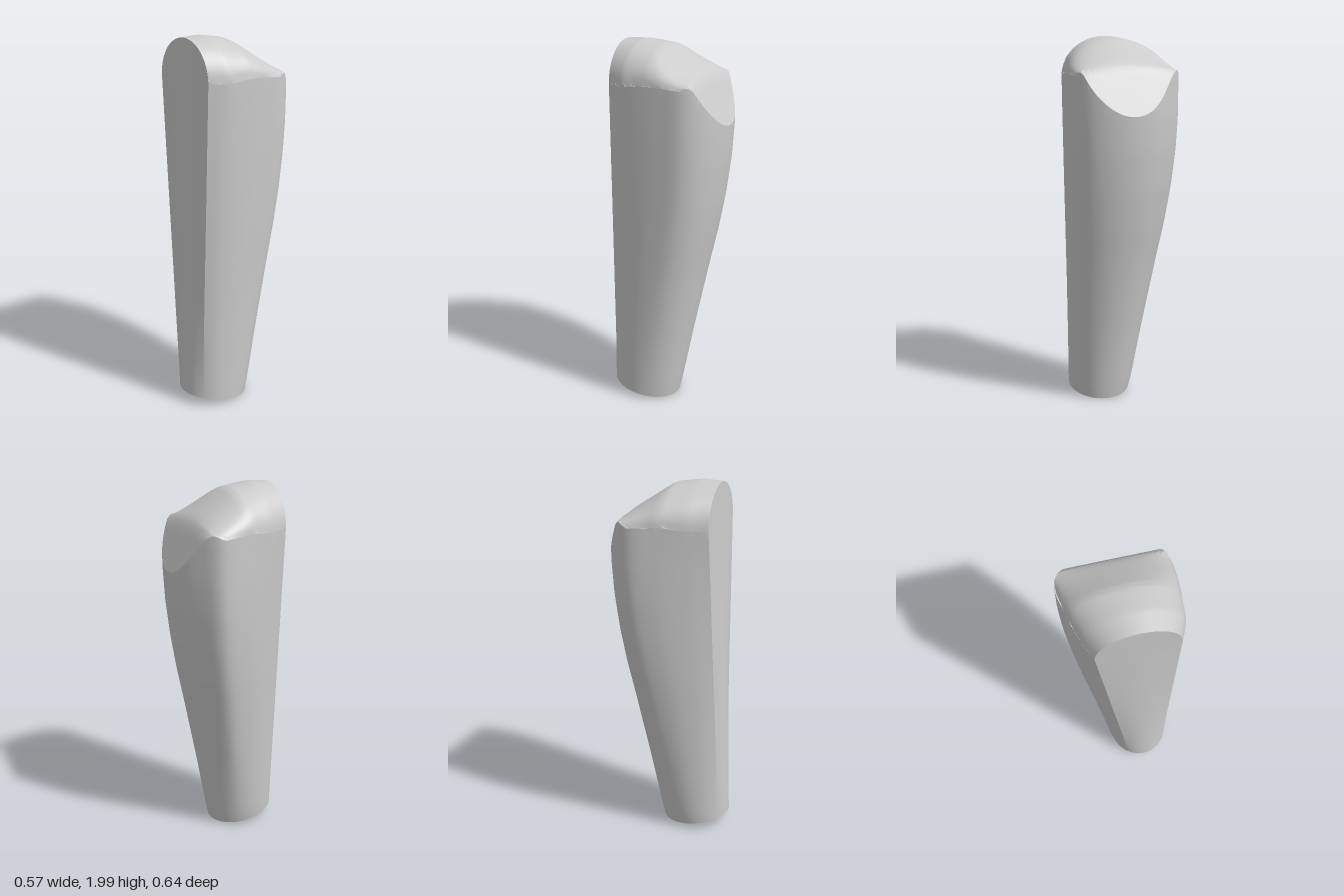
import * as THREE from 'three';
import { toCreasedNormals } from 'three/addons/utils/BufferGeometryUtils.js';

const { lerp, clamp } = THREE.MathUtils;

// Piecewise-linear lookup through [key, value] pairs with rising keys
function ramp(pairs, k) {
  if (k <= pairs[0][0]) return pairs[0][1];
  for (let i = 1; i < pairs.length; i++) {
    const [k0, v0] = pairs[i - 1], [k1, v1] = pairs[i];
    if (k <= k1) return lerp(v0, v1, (k - k0) / (k1 - k0));
  }
  return pairs[pairs.length - 1][1];
}

// Head: ridge height, side drop and left/right limits, all along z
const RIDGE = [[-0.318, 1.59], [-0.215, 1.8], [-0.19, 1.84], [-0.16, 1.865], [0.0, 1.97], [0.03, 1.983], [0.15, 2], [0.257, 1.995]];
const DROP = [[-0.22, 0], [-0.16, 0.07], [0.01, 0.17], [0.15, 0.21], [0.257, 0.205]];
const MIN_X = [[-0.15, -0.285], [0.01, -0.265], [0.15, -0.225], [0.257, -0.18]];
const MAX_X = [[-0.17, 0.272], [-0.05, 0.283], [0.16, 0.27], [0.257, 0.23]];
// How far the grip has swelled from its foot to the head, along y
const SWELL = [[0, 0], [0.4, 0.28], [0.8, 0.58], [1, 0.74], [1.2, 0.87], [1.4, 0.96], [1.58, 1]];

function headHeight(x, z, onSide) {
  const a = ramp(MIN_X, z), b = ramp(MAX_X, z);
  const t = onSide ? 1 : clamp((2 * x - a - b) / (b - a), -1, 1);
  return ramp(RIDGE, z) - ramp(DROP, z) * (1 - Math.sqrt(1 - t * t));
}

// Rim of the head: sides and back as a curve, then the straight front
function makeRim() {
  const path = new THREE.CatmullRomCurve3([
    [-0.18, 0.257], [-0.225, 0.15], [-0.265, 0.01], [-0.284, -0.15], [-0.2, -0.238],
    [-0.1, -0.3], [0.01, -0.318], [0.12, -0.3], [0.22, -0.245], [0.272, -0.17],
    [0.283, -0.05], [0.27, 0.16], [0.23, 0.257],
  ].map(([x, z]) => new THREE.Vector3(x, 0, z)));
  const rim = path.getSpacedPoints(72).map(({ x, z }) => (
    { x, z, y: headHeight(x, z, true), straight: 1 - clamp((0.257 - z) / 0.25, 0, 1) }));
  const n = 28;
  for (let i = 1; i < n; i++) {
    const x = 0.025 + 0.205 * Math.cos((Math.PI * i) / n);
    rim.push({ x, z: 0.257, y: headHeight(x, 0.257, false), straight: 1 });
  }
  return rim;
}

function makeHandle() {
  const rim = makeRim();
  const rows = [];

  // Tilted oval foot, matched to the rim by angle
  const footY = (z) => 0.01 + (z + 0.06) * 0.158;
  const foot = rim.map(({ x, z }) => {
    const a = Math.atan2((z + 0.03) / 0.29, x / 0.28);
    return { x: 0.08 + 0.17 * Math.cos(a), z: 0.13 + 0.19 * Math.sin(a) };
  });
  rows.push(foot.map(() => [0.08, footY(0.13), 0.13]));

  // Grip wall
  const steps = 28;
  for (let j = 0; j <= steps; j++) {
    const v = j / steps;
    rows.push(rim.map((p, i) => {
      const f = foot[i], y = lerp(footY(f.z), p.y, v);
      const swell = j === 0 ? 0 : j === steps ? 1 : ramp(SWELL, y);
      const s = lerp(swell, v, p.straight);
      return [lerp(f.x, p.x, s), y, lerp(f.z, p.z, s)];
    }));
  }

  // Head, in rings that crowd toward the rim
  const rings = 24;
  for (let j = 1; j <= rings; j++) {
    const r = j === rings ? 0 : Math.cos((j / rings) * Math.PI / 2);
    rows.push(rim.map((p) => {
      const x = lerp(0.02, p.x, r), z = p.z * r;
      return [x, headHeight(x, z, false), z];
    }));
  }

  // Skin the rows
  const pos = [], n = rim.length;
  for (let j = 0; j + 1 < rows.length; j++) {
    for (let i = 0; i < n; i++) {
      const k = (i + 1) % n;
      const a = rows[j][i], b = rows[j][k], c = rows[j + 1][i], d = rows[j + 1][k];
      if (j + 2 < rows.length) pos.push(...a, ...c, ...d);
      else pos.push(...a, ...c, ...b);
      if (j > 0 && j + 2 < rows.length) pos.push(...a, ...d, ...b);
    }
  }
  const geometry = new THREE.BufferGeometry();
  geometry.setAttribute('position', new THREE.Float32BufferAttribute(pos, 3));
  // Enlarged while creasing so close vertices stay distinct
  geometry.scale(100, 100, 100);
  const creased = toCreasedNormals(geometry, 0.42);
  creased.scale(0.01, 0.01, 0.01);
  return creased;
}

export function createModel() {
  const group = new THREE.Group();
  group.name = 'handle';
  const grip = new THREE.Mesh(makeHandle(), new THREE.MeshStandardMaterial({ color: 0xcccccc }));
  grip.name = 'grip';
  group.add(grip);
  return group;
}
